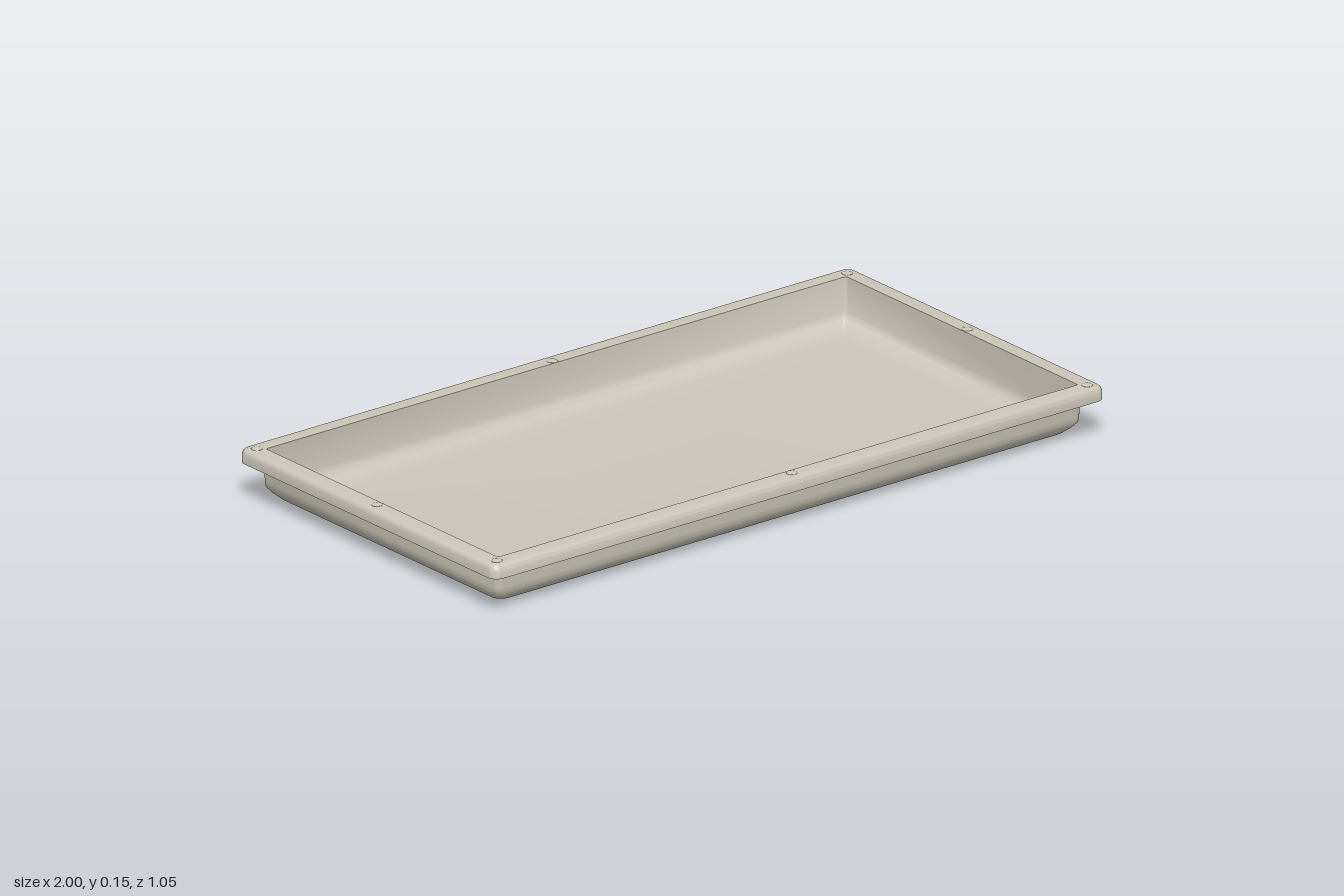
import * as THREE from 'three';
import { toCreasedNormals } from 'three/addons/utils/BufferGeometryUtils.js';

const HALF_X = 1, HALF_Z = 0.527, STEPS = 6;

// Rounded rectangle inset from the outer edge, at height y
function ring(inset, y, r) {
  const hx = HALF_X - inset - r, hz = HALF_Z - inset - r, pts = [];
  [[1, 1], [-1, 1], [-1, -1], [1, -1]].forEach(([sx, sz], c) => {
    for (let k = 0; k <= STEPS; k++) {
      const a = (c + k / STEPS) * Math.PI / 2;
      pts.push([sx * hx + r * Math.cos(a), y, sz * hz + r * Math.sin(a)]);
    }
  });
  return pts;
}

// Skin a list of rings; the first and last are closed with flat caps
function loft(rings) {
  const pos = [], n = rings[0].length;
  const centre = (rg) => rg.map(() => [0, rg[0][1], 0]);
  const all = [centre(rings[0]), ...rings, centre(rings[rings.length - 1])];
  for (let i = 0; i < all.length - 1; i++) {
    for (let j = 0; j < n; j++) {
      const k = (j + 1) % n;
      const a = all[i][j], b = all[i + 1][j], c = all[i + 1][k], d = all[i][k];
      if (i < all.length - 2) pos.push(...a, ...b, ...c);
      if (i > 0) pos.push(...a, ...c, ...d);
    }
  }
  const geo = new THREE.BufferGeometry();
  geo.setAttribute('position', new THREE.Float32BufferAttribute(pos, 3));
  return toCreasedNormals(geo, 0.75);
}

export function createModel() {
  const model = new THREE.Group();
  model.name = 'tray';
  const plastic = new THREE.MeshStandardMaterial({ color: 0xcbc6b8 });
  plastic.name = 'warm grey plastic';

  // Tray shell: underside, outer wall, hanging lip, rim, inner wall, floor
  const profile = [ // inset, height, corner radius
    [0.11, 0.001, 0.03], [0.09, 0.005, 0.03], [0.07, 0.015, 0.03],
    [0.056, 0.029, 0.025], [0.046, 0.043, 0.02], [0.044, 0.06, 0.02], [0.042, 0.135, 0.018],
    [0.009, 0.135, 0.02], [0.009, 0.108, 0.02], [0, 0.108, 0.028],
    [0, 0.131, 0.028], [0.003, 0.139, 0.026], [0.008, 0.1435, 0.022], [0.015, 0.145, 0.018],
    [0.052, 0.145, 0.006], [0.057, 0.05, 0.01], [0.064, 0.034, 0.012],
    [0.076, 0.021, 0.018], [0.094, 0.013, 0.02], [0.115, 0.011, 0.02],
  ];
  const shell = new THREE.Mesh(loft(profile.map((p) => ring(...p))), plastic);
  shell.name = 'trayShell';
  model.add(shell);

  // Small raised bumps at the corners and middles of the rim
  const bumps = new THREE.Group();
  bumps.name = 'rimBumps';
  const dome = new THREE.SphereGeometry(0.015, 16, 6, 0, Math.PI * 2, 0, Math.PI / 2);
  dome.scale(1, 0.2, 1);
  for (const x of [-1, 0, 1]) for (const z of [-1, 0, 1]) {
    if (x === 0 && z === 0) continue;
    const bump = new THREE.Mesh(dome, plastic);
    bump.name = 'rimBump';
    bump.position.set(x * 0.965, 0.145, z * 0.491);
    bumps.add(bump);
  }
  model.add(bumps);

  // Slightly raised foot plate under the base
  const foot = new THREE.Mesh(new THREE.BoxGeometry(1.7, 0.004, 0.78), plastic);
  foot.name = 'basePlate';
  foot.position.y = 0.002;
  model.add(foot);
  return model;
}
